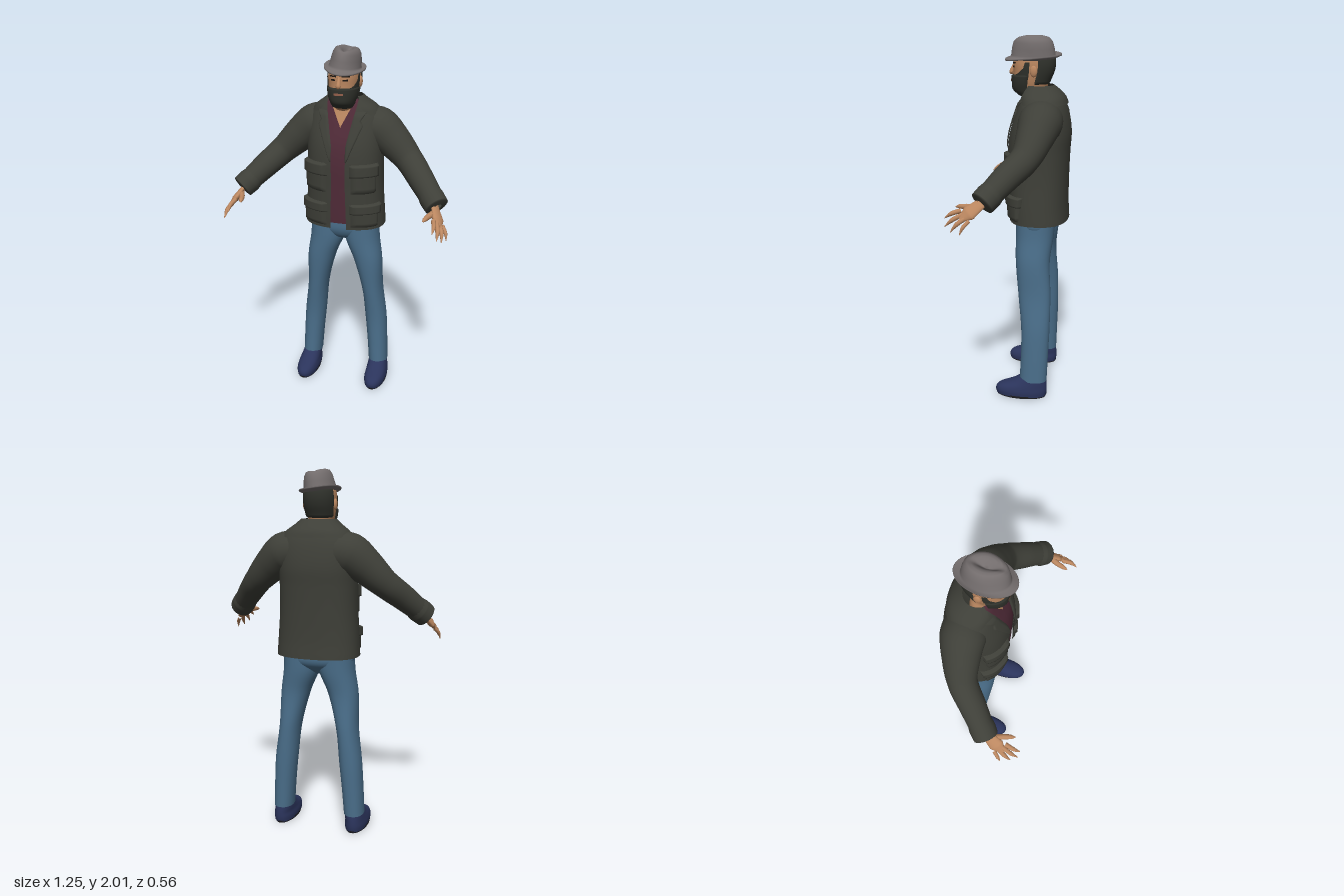
import * as THREE from 'three';
import { mergeVertices } from 'three/addons/utils/BufferGeometryUtils.js';

const paint = (name, color, side = THREE.FrontSide) => {
  const m = new THREE.MeshStandardMaterial({ color, side });
  m.name = name;
  return m;
};

// Upright form from rows of [y, half width, back z, front z, centre x].
// Returns point(y, angle, offset); angle 0 is the front, turning toward +x.
function form(rows, p = 2.2) {
  const spline = new THREE.CubicInterpolant(rows.map(r => r[0]),
    rows.flatMap(r => [r[1], r[2], r[3], r[4] || 0]), 4, new Float32Array(4));
  const pow = v => Math.sign(v) * Math.abs(v) ** (2 / p);
  const point = (y, a, off = 0) => {
    const [rx, zb, zf, cx] = spline.evaluate(y);
    return [cx + (rx + off) * pow(Math.sin(a)), y, (zb + zf) / 2 + ((zf - zb) / 2 + off) * pow(Math.cos(a))];
  };
  // angle on the front at which the surface reaches a given x
  point.angle = (y, x) => Math.sign(x) * Math.asin(Math.min(1, Math.abs(x) / spline.evaluate(y)[0]) ** (p / 2));
  return point;
}

// Smooth sheet over a form; a padded sheet sinks to the form along its edges.
function sheet(point, y0, y1, range, { off = 0, pad = 0, ny = 20, na = 40 } = {}) {
  const pos = [], index = [];
  for (let i = 0; i <= ny; i++) {
    const y = y0 + (y1 - y0) * i / ny, [a0, a1] = range(y);
    for (let j = 0; j <= na; j++) {
      const edge = i === 0 || i === ny || j === 0 || j === na;
      pos.push(...point(y, a0 + (a1 - a0) * j / na, off + (edge ? 0 : pad)));
      if (i < ny && j < na) {
        const k = i * (na + 1) + j, u = k + na + 1;
        index.push(k, k + 1, u + 1, k, u + 1, u);
      }
    }
  }
  const g = new THREE.BufferGeometry();
  g.setAttribute('position', new THREE.Float32BufferAttribute(pos, 3));
  g.setIndex(index);
  return smooth(g);
}

function smooth(g) {
  g.deleteAttribute('uv');
  g.deleteAttribute('normal');
  const m = mergeVertices(g, 1e-5);
  m.computeVertexNormals();
  return m;
}

// Tube of changing radius, optionally squashed along a direction.
function limb(points, radii, squash, segs = 28, sides = 18) {
  const curve = new THREE.CatmullRomCurve3(points.map(q => new THREE.Vector3(...q)));
  const g = new THREE.TubeGeometry(curve, segs, 1, sides), pos = g.attributes.position;
  const v = new THREE.Vector3();
  for (let i = 0; i < pos.count; i++) {
    const u = Math.floor(i / (sides + 1)) / segs, c = curve.getPointAt(u);
    const t = curve.getUtoTmapping(u) * (radii.length - 1), k = Math.min(Math.floor(t), radii.length - 2);
    v.fromBufferAttribute(pos, i).sub(c).multiplyScalar(radii[k] + (radii[k + 1] - radii[k]) * (t - k));
    if (squash) v.addScaledVector(squash, -0.55 * v.dot(squash));
    v.add(c);
    pos.setXYZ(i, v.x, v.y, v.z);
  }
  return smooth(g);
}

const around = () => [-Math.PI, Math.PI];
const lerp = (y, ...table) => { // [y, value] pairs
  for (let i = 1; i < table.length; i++) if (y <= table[i][0]) {
    const [a, b] = [table[i - 1], table[i]];
    return a[1] + (b[1] - a[1]) * Math.max(0, (y - a[0]) / (b[0] - a[0]));
  }
  return table[table.length - 1][1];
};

export function createModel() {
  const model = new THREE.Group();
  const cloth = paint('jacket olive', 0x3e3f38, THREE.DoubleSide), denim = paint('denim blue', 0x4a6e8a, THREE.DoubleSide);
  const wine = paint('shirt wine', 0x502b38, THREE.DoubleSide), skin = paint('skin', 0xbb8760);
  const hairMat = paint('hair', 0x2f312b, THREE.DoubleSide), felt = paint('hat grey', 0x736d6d);
  const navy = paint('shoe navy', 0x2b345c), rubber = paint('sole', 0x1f1f22);
  const dark = paint('eye dark', 0x1c1713, THREE.DoubleSide), lipMat = paint('lips', 0x96614c, THREE.DoubleSide);
  const add = (name, geo, mat, parent = model) => {
    const m = new THREE.Mesh(geo, mat);
    m.name = name;
    parent.add(m);
    return m;
  };

  // Head and neck
  const head = form([[1.55, .07, -.16, -.02], [1.66, .062, -.15, -.035], [1.695, .056, -.145, -.002], [1.72, .06, -.145, .028],
    [1.76, .072, -.152, .036], [1.82, .081, -.176, .036], [1.86, .083, -.183, .037], [1.9, .077, -.178, .03], [1.95, .055, -.15, 0]]);
  add('head', sheet(head, 1.55, 1.95, around, { ny: 40 }), skin);
  add('beard', sheet(head, 1.688, 1.805, () => [-1.5, 1.5], { pad: .009, off: .001 }), hairMat);
  add('hair', sheet(head, 1.755, 1.91, () => [1.85, 2 * Math.PI - 1.85], { pad: .007, off: .001 }), hairMat);
  add('nose', limb([[0, 1.868, .03], [0, 1.84, .04], [0, 1.815, .047], [0, 1.805, .035]], [.004, .01, .014, .002]), skin);
  const onFace = (name, x0, x1, y0, y1, mat, off) =>
    add(name, sheet(head, y0, y1, y => [head.angle(y, x0), head.angle(y, x1)], { off, ny: 4, na: 8 }), mat);
  onFace('lips', -.022, .022, 1.768, 1.78, lipMat, .0125);

  // Upper body: jacket, shirt and chest share one form
  const torso = form([[1.02, .23, -.275, .05], [1.1, .225, -.27, .055], [1.25, .215, -.27, .06], [1.4, .213, -.275, .062],
    [1.5, .214, -.28, .05], [1.6, .208, -.265, .02], [1.66, .185, -.245, 0], [1.7, .145, -.222, -.012], [1.735, .1, -.19, -.025]], 2.4);
  const opening = y => torso.angle(y, lerp(y, [1.02, .046], [1.3, .038], [1.5, .042], [1.6, .062], [1.7, .082], [1.735, .085]));
  add('jacket', sheet(torso, 1.015, 1.735, y => [opening(y), 2 * Math.PI - opening(y)], { ny: 44, na: 72 }), cloth);
  add('chest', sheet(torso, 1.55, 1.71, () => [-.8, .8], { off: -.022 }), skin);
  const neckline = y => torso.angle(y, lerp(y, [1.59, 0], [1.7, .058], [1.735, .072]));
  const collar = form([[1.655, .192, -.256, 0], [1.69, .165, -.242, -.004], [1.725, .118, -.21, -.014], [1.75, .092, -.178, -.03]], 2.2);
  add('collar', sheet(collar, 1.655, 1.75, y => {
    const g = lerp(y, [1.655, .85], [1.69, .62], [1.75, .95]);
    return [g, 2 * Math.PI - g];
  }, { off: .004, ny: 10, na: 56 }), cloth);

  // Hips
  const hips = form([[.905, .02, -.13, -.08], [.93, .1, -.17, -.03], [.97, .185, -.21, 0], [1.06, .2, -.215, .008]]);
  add('hips', sheet(hips, .905, 1.06, around), denim);

  const leg = form([[.1, .056, -.19, -.035, .212], [.25, .059, -.195, -.04, .203], [.4, .062, -.2, -.04, .191], [.6, .06, -.2, -.02, .168],
    [.8, .083, -.19, 0, .138], [.93, .1, -.205, .005, .103], [1.05, .098, -.213, .005, .1]]);
  const shoe = form([[.008, .062, -.188, .1, .216], [.035, .064, -.192, .104, .216], [.06, .06, -.192, .085, .216],
    [.085, .056, -.19, .02, .214], [.115, .051, -.185, -.035, .212]]);
  const across = new THREE.Vector3(.065, -.065, -.075), along = new THREE.Vector3(.05, -.085, .11);
  const palmNormal = along.clone().cross(across).normalize();
  const tips = [[.56, 1.145, .28], [.585, 1.108, .275], [.606, 1.088, .24], [.624, 1.08, .19]];

  for (const s of [1, -1]) {
    const side = new THREE.Group();
    side.name = s > 0 ? 'leftSide' : 'rightSide';
    model.add(side);
    // Mirrored by flipping x and the corner order
    const put = (name, geo, mat) => {
      if (s < 0) {
        geo.scale(-1, 1, 1);
        const ix = geo.index.array;
        for (let i = 0; i < ix.length; i += 3) [ix[i], ix[i + 1]] = [ix[i + 1], ix[i]];
        geo.computeVertexNormals();
      }
      return add(name, geo, mat, side);
    };

    // Face details
    put('sideburn', sheet(head, 1.795, 1.87, y => [lerp(y, [1.795, .45], [1.815, .95], [1.84, 1.22], [1.87, 1.3]), 1.5],
      { off: .005, ny: 12, na: 8 }), hairMat);
    put('ear', new THREE.SphereGeometry(1, 16, 12).scale(.011, .03, .02).translate(.085, 1.825, -.085), skin);
    const facePlate = (name, x0, x1, y0, y1) => put(name,
      sheet(head, y0, y1, y => [head.angle(y, x0), head.angle(y, x1)], { off: .002, ny: 2, na: 8 }), dark);
    facePlate('eye', .02, .046, 1.842, 1.851);
    facePlate('eyebrow', .014, .054, 1.862, 1.87);

    // Shirt half with the V neckline
    put('shirt', sheet(torso, 1.045, 1.735, y => [neckline(y), Math.max(1, neckline(y))], { off: -.011, ny: 60, na: 12 }), wine);

    // Lapel and pockets
    put('lapel', sheet(torso, 1.41, 1.675, y => [opening(y) - .01,
      torso.angle(y, lerp(y, [1.41, .045], [1.61, .125], [1.625, .105], [1.675, .135]))], { off: .003, pad: .006, ny: 18, na: 8 }), cloth);
    const pad = (name, x0, x1, y0, y1, thick) => put(name, sheet(torso, y0, y1,
      y => [torso.angle(y, x0), torso.angle(y, x1)], { off: -.001, pad: thick, ny: 10, na: 12 }), cloth);
    pad('chestPocket', .07, .195, 1.23, 1.39, .014);
    pad('chestPocketFlap', .062, .2, 1.325, 1.4, .022);
    pad('hipPocket', .07, .208, 1.03, 1.16, .014);
    pad('hipPocketFlap', .062, .213, 1.11, 1.17, .022);

    // Sleeve and cuff
    put('sleeve', limb([[.09, 1.575, -.14], [.18, 1.565, -.135], [.258, 1.51, -.122], [.36, 1.415, -.088], [.45, 1.33, -.005], [.54, 1.238, .08]],
      [.11, .117, .1, .077, .07, .06], null, 40, 24), cloth);
    put('cuff', limb([[.495, 1.284, .038], [.52, 1.258, .062], [.553, 1.226, .092], [.556, 1.223, .095]], [.062, .069, .066, .025]), cloth);

    // Hand
    put('palm', limb([[.535, 1.24, .078], [.552, 1.21, .115], [.57, 1.178, .155], [.587, 1.148, .195]], [.028, .033, .042, .014], palmNormal), skin);
    tips.forEach((tip, i) => {
      const base = new THREE.Vector3(.574, 1.166, .172).addScaledVector(across, (i - 1.5) * .21);
      const mid = base.clone().lerp(new THREE.Vector3(...tip), .55).add(new THREE.Vector3(.006, .006, .004));
      put('finger', limb([base.toArray(), mid.toArray(), tip], [.0125, .0115, .002].map(r => r * (i === 3 ? .85 : 1)), null, 12, 10), skin);
    });
    put('thumb', limb([[.55, 1.205, .115], [.522, 1.198, .175], [.51, 1.195, .215], [.504, 1.19, .238]], [.018, .015, .012, .002], null, 14, 10), skin);

    // Trouser leg and shoe
    put('trouserLeg', sheet(leg, .1, 1.05, around, { ny: 40, na: 32 }), denim);
    put('shoe', sheet(shoe, .008, .115, around, { ny: 16 }), navy);
    put('sole', new THREE.CylinderGeometry(1, .96, .014, 36).scale(.064, 1, .147).translate(.216, .007, -.044), rubber);
  }

  // Hat: turned profile made oval, with curled brim and creased crown
  const profile = [[.74, -.004], [.99, -.005], [1, 0], [.98, .004], [.8, .007], [.765, .018], [.74, .05], [.68, .083], [.58, .103],
    [.46, .109], [.34, .108], [.22, .106], [.1, .104], [0, .104]];
  const hat = new THREE.LatheGeometry(profile.map(q => new THREE.Vector2(...q)), 48);
  const hp = hat.attributes.position;
  for (let i = 0; i < hp.count; i++) {
    const x = hp.getX(i), z = hp.getZ(i), r = Math.hypot(x, z);
    let y = hp.getY(i);
    if (r > .8) y += (r - .8) * (z < 0 ? .09 : -.05) * Math.abs(z) + (r - .8) * .06 * x * x;
    if (y > .1) y -= .035 * Math.exp(-((x / .17) ** 2)) * Math.exp(-(((z - .05) / .4) ** 2));
    const pinch = y > .05 && z > 0 ? 1 - .2 * z : 1;
    hp.setXYZ(i, x * .109 * pinch, y, z * .154);
  }
  const hatMesh = add('hat', smooth(hat), felt);
  hatMesh.position.set(.003, 1.893, -.07);
  hatMesh.rotation.z = -.13;
  return model;
}
